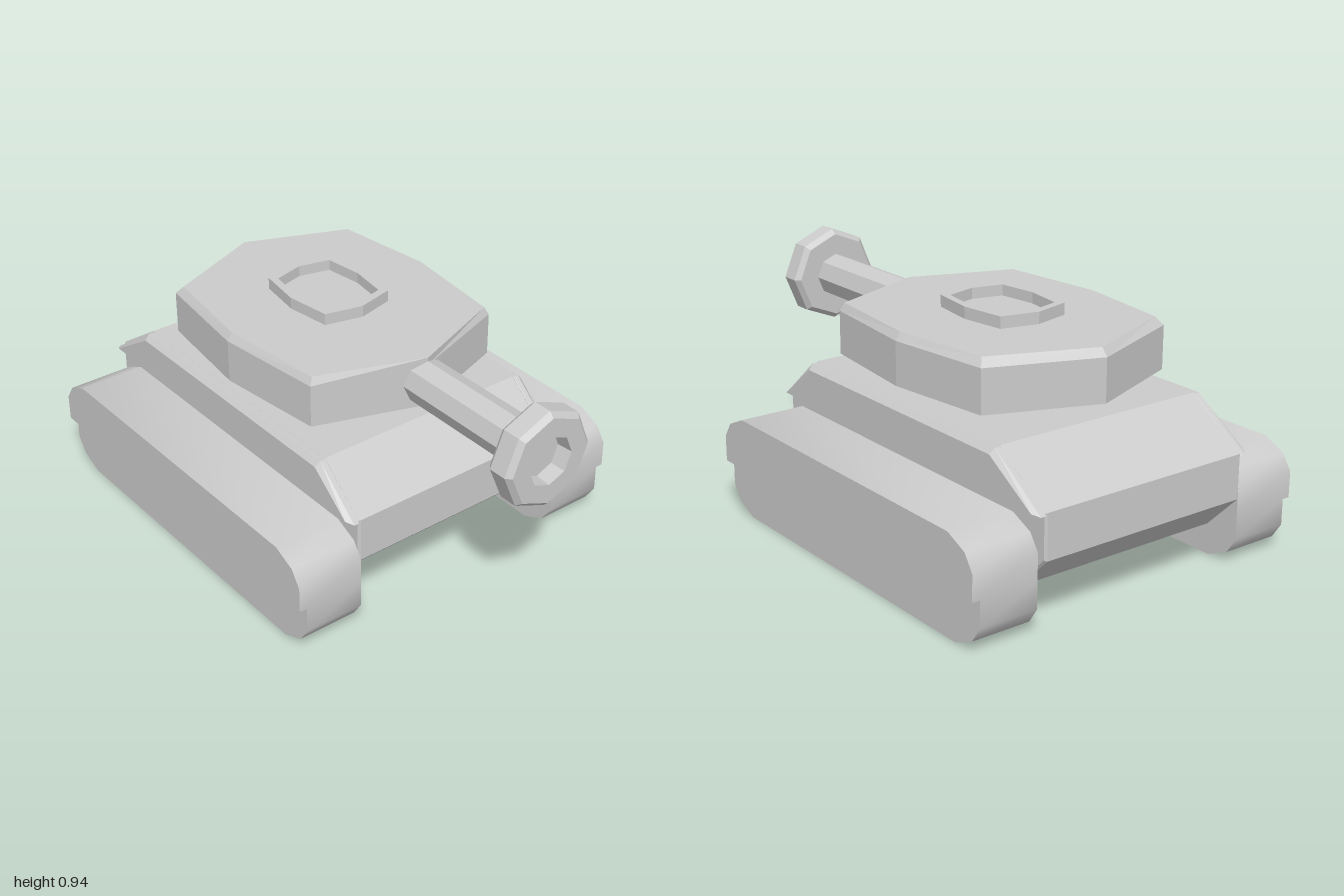
import * as THREE from 'three';
import { toCreasedNormals } from 'three/addons/utils/BufferGeometryUtils.js';

const flat = new THREE.MeshStandardMaterial({ color: 0xcccccc, flatShading: true });
const smooth = new THREE.MeshStandardMaterial({ color: 0xcccccc });

function mesh(name, geometry, material = flat) {
  const m = new THREE.Mesh(geometry, material);
  m.name = name;
  return m;
}

// Extrude a [z, y] side profile across x from x0 to x1, with chamfered rims
function slab(profile, x0, x1, bevel = 0) {
  const shape = new THREE.Shape(profile.map(([z, y]) => new THREE.Vector2(z, y)));
  const geo = new THREE.ExtrudeGeometry(shape, {
    depth: x1 - x0 - 2 * bevel, bevelEnabled: bevel > 0, bevelSegments: 1,
    bevelSize: bevel, bevelThickness: bevel, bevelOffset: -bevel,
  });
  geo.rotateY(-Math.PI / 2);
  geo.translate(x1 - bevel, 0, 0);
  return geo;
}

// Mirror a half outline of [x, z] points (front to back) into a closed ring
function ring(y, half) {
  const other = half.slice(1, -1).reverse().map(([x, z]) => [-x, z]);
  return [...half, ...other].map(([x, z]) => [x, y, z]);
}

// Skin a stack of rings, optionally closing the first and last
function loft(rings, capStart, capEnd) {
  const n = rings[0].length;
  const index = [];
  for (let r = 0; r < rings.length - 1; r++) {
    for (let i = 0; i < n; i++) {
      const a = r * n + i, b = r * n + (i + 1) % n;
      index.push(a, b, b + n, a, b + n, a + n);
    }
  }
  const last = (rings.length - 1) * n;
  for (let i = 1; i < n - 1; i++) {
    if (capStart) index.push(0, i + 1, i);
    if (capEnd) index.push(last, last + i, last + i + 1);
  }
  const geo = new THREE.BufferGeometry();
  geo.setAttribute('position', new THREE.Float32BufferAttribute(rings.flat(2), 3));
  geo.setIndex(index);
  geo.computeVertexNormals();
  return geo;
}

// Eight-sided turned part along z, profile given as [radius, z]
function turned(profile) {
  const geo = new THREE.LatheGeometry(profile.map(([r, z]) => new THREE.Vector2(r, z)), 8);
  geo.rotateX(Math.PI / 2);
  return geo;
}

export function createModel() {
  const model = new THREE.Group();
  model.name = 'tank';

  // Hull with sloped nose and tail
  model.add(mesh('hull', slab([
    [0.40, 0.13], [0.54, 0.27], [0.54, 0.44], [0.35, 0.6],
    [-0.76, 0.6], [-1, 0.44], [-1, 0.27], [-0.86, 0.13],
  ], -0.44, 0.44, 0.008)));

  // Chamfered side skirts and stepped tracks
  const skirt = [[0.54, 0.43], [0.35, 0.595], [-0.76, 0.595], [-1, 0.43]].reverse();
  const upper = [
    [0.57, 0.2], [0.57, 0.3], [0.53, 0.36], [0.44, 0.4],
    [-0.85, 0.4], [-0.94, 0.36], [-0.98, 0.3], [-0.98, 0.2],
  ];
  const lower = upper.map(([z, y]) => [z, 0.4 - y]).reverse();
  for (const side of [1, -1]) {
    const label = side > 0 ? 'left' : 'right';
    const span = (a, b) => (side > 0 ? [a, b] : [-b, -a]);
    model.add(mesh(label + 'Skirt', slab(skirt, ...span(0.42, 0.48), 0.02)));
    const track = new THREE.Group();
    track.name = label + 'Track';
    track.add(
      mesh('trackGuard', toCreasedNormals(slab(upper, ...span(0.455, 0.72)), 0.65), smooth),
      mesh('trackBelt', toCreasedNormals(slab(lower, ...span(0.455, 0.69)), 0.65), smooth),
    );
    model.add(track);
  }

  // Turret: tapered belly, straight walls, chamfered roof
  const wall = [[0, 0.37], [0.41, 0.23], [0.46, -0.2], [0.41, -0.62], [0, -0.78]];
  model.add(mesh('turret', loft([
    ring(0.6, [[0, 0.12], [0.3, 0.05], [0.35, -0.2], [0.3, -0.47], [0, -0.55]]),
    ring(0.655, wall),
    ring(0.82, wall),
    ring(0.85, [[0, 0.37], [0.395, 0.22], [0.44, -0.2], [0.39, -0.595], [0, -0.755]]),
  ], true, true)));

  // Hatch: raised rim around a sunken floor
  const rim = [[0, 0], [0.145, -0.035], [0.17, -0.21], [0.145, -0.385], [0, -0.42]];
  const well = [[0, -0.03], [0.12, -0.06], [0.14, -0.21], [0.12, -0.36], [0, -0.39]];
  model.add(mesh('hatch', loft([
    ring(0.84, rim), ring(0.895, rim), ring(0.895, well), ring(0.853, well),
  ], false, true)));

  // Gun barrel and flared muzzle with a bore
  const gun = new THREE.Group();
  gun.name = 'gun';
  gun.position.y = 0.75;
  gun.add(
    mesh('barrel', turned([[0.086, 0.15], [0.086, 0.92]])),
    mesh('muzzle', turned([
      [0, 0.89], [0.168, 0.89], [0.187, 0.91], [0.187, 0.98],
      [0.168, 1], [0.095, 1], [0.09, 0.94], [0, 0.94],
    ])),
  );
  model.add(gun);
  return model;
}
